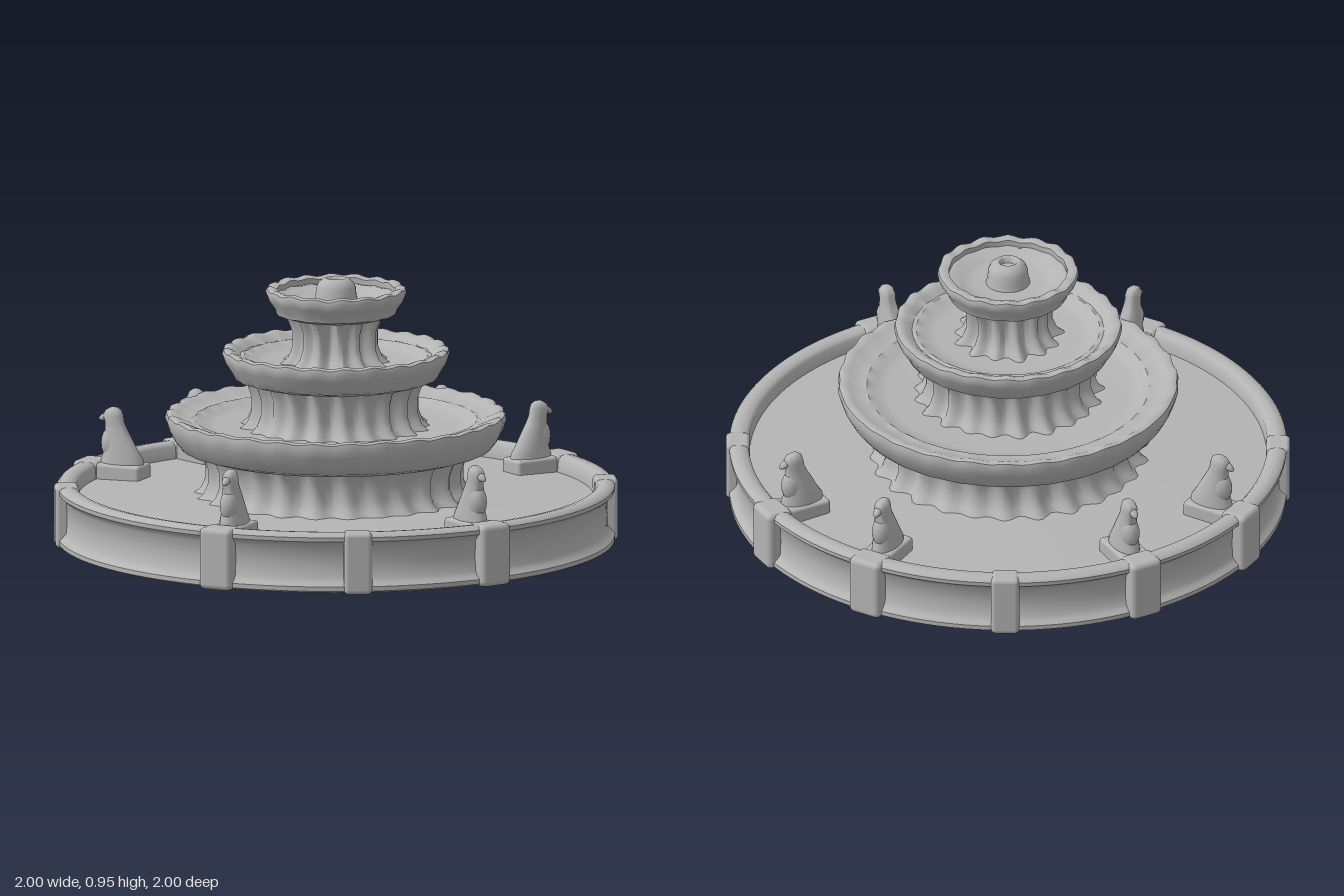
import * as THREE from 'three';
import { mergeVertices, toCreasedNormals } from 'three/addons/utils/BufferGeometryUtils.js';
import { RoundedBoxGeometry } from 'three/addons/geometries/RoundedBoxGeometry.js';

const stone = new THREE.MeshStandardMaterial({ color: 0xb4b4b4 });
stone.name = 'grey stone';

// Turned shape whose vertices can be moved by rule(position, profileIndex)
function turned(name, profile, segments, rule, crease = 0.8) {
  const points = profile.map(([r, y]) => new THREE.Vector2(r, y));
  let geo = new THREE.LatheGeometry(points, segments);
  const pos = geo.attributes.position;
  const v = new THREE.Vector3();
  if (rule) {
    for (let i = 0; i < pos.count; i++) {
      v.fromBufferAttribute(pos, i);
      rule(v, i % profile.length);
      pos.setXYZ(i, v.x, v.y, v.z);
    }
  }
  geo.deleteAttribute('normal');
  geo.deleteAttribute('uv');
  geo = toCreasedNormals(mergeVertices(geo, 1e-5), crease);
  const mesh = new THREE.Mesh(geo, stone);
  mesh.name = name;
  return mesh;
}

// Bowl with a rolled, scalloped lip
function bowl(name, rim, foot, bottom, top, lip, floor, lobes) {
  const h = top - bottom;
  const profile = [
    [0, bottom], [foot, bottom], [rim * 0.5 + foot * 0.5, bottom + h * 0.12],
    [rim - 0.03, bottom + h * 0.32], [rim - 0.01, bottom + h * 0.58], [rim, bottom + h * 0.82],
    [rim - 0.004, top - 0.006], [rim - 0.018, top], [rim - 0.04, top - 0.008],
    [lip + 0.015, top - 0.028], [lip, floor + 0.025], [lip - 0.03, floor + 0.005],
    [lip - 0.07, floor], [0, floor],
  ];
  const weight = [0, 0, 0.3, 0.7, 1, 1, 1, 0.9, 0.7, 0.4, 0, 0, 0, 0];
  return turned(name, profile, 144, (v, i) => {
    const a = Math.atan2(v.x, v.z);
    const wave = weight[i] * (Math.cos(a * lobes) + 0.4 * Math.sin(a * 7));
    const k = 1 - weight[i] * 0.004 + 0.004 * wave;
    v.x *= k;
    v.z *= k;
    v.y += 0.004 * wave;
  });
}

// Curtain of falling water: a drum with uneven vertical folds
function curtain(name, radius, bottom, top, folds) {
  const h = top - bottom;
  const profile = [
    [radius + 0.05, bottom - 0.01], [radius + 0.015, bottom + h * 0.12], [radius, bottom + h * 0.35],
    [radius, bottom + h * 0.65], [radius + 0.012, bottom + h * 0.86], [radius + 0.03, top + 0.01],
  ];
  return turned(name, profile, 144, (v) => {
    const a = Math.atan2(v.x, v.z);
    const k = (0.013 * Math.cos(a * folds) + 0.006 * Math.sin(a * (folds - 5))) / radius;
    v.x *= 1 + k;
    v.z *= 1 + k;
  }, 1.2);
}

function block(name, w, h, d, x, y, round) {
  const mesh = new THREE.Mesh(new RoundedBoxGeometry(w, h, d, 3, round), stone);
  mesh.name = name;
  mesh.position.set(x, y, 0);
  return mesh;
}

// Seated animal on a short plinth, looking outward along +x
function statue() {
  const g = new THREE.Group();
  g.name = 'statue';
  g.add(block('statuePlinth', 0.19, 0.08, 0.11, 0.845, 0.175, 0.012));
  // [height, centre, half depth, half width] of each body section
  const sections = [
    [0.19, 0.838, 0.085, 0.046], [0.23, 0.838, 0.08, 0.044], [0.26, 0.842, 0.064, 0.04],
    [0.3, 0.852, 0.052, 0.035], [0.335, 0.862, 0.042, 0.03], [0.36, 0.868, 0.036, 0.026],
    [0.385, 0.874, 0.038, 0.027], [0.403, 0.872, 0.03, 0.021], [0.413, 0.87, 0.014, 0.01],
    [0.415, 0.87, 0, 0],
  ];
  g.add(turned('statueBody', sections.map((s) => [s[2], s[0]]), 20, (v, i) => {
    const [, centre, depth, width] = sections[i];
    if (depth > 0) v.z *= width / depth;
    v.x += centre;
  }, 1.5));
  const snout = new THREE.Mesh(new THREE.SphereGeometry(1, 14, 10), stone);
  snout.name = 'statueSnout';
  snout.scale.set(0.03, 0.013, 0.015);
  snout.position.set(0.902, 0.38, 0);
  snout.rotation.z = -0.5;
  g.add(snout);
  const chest = new THREE.Mesh(new THREE.SphereGeometry(1, 14, 10), stone);
  chest.name = 'statueChest';
  chest.scale.set(0.04, 0.06, 0.034);
  chest.position.set(0.878, 0.285, 0);
  g.add(chest);
  return g;
}

export function createModel() {
  const model = new THREE.Group();
  model.name = 'fountain';

  // Pool: underside, recessed wall panel, rounded rim and gently rising floor
  model.add(turned('pool', [
    [0, 0.005], [0.975, 0.005], [0.988, 0.012], [0.988, 0.028], [0.975, 0.04], [0.963, 0.055],
    [0.961, 0.11], [0.963, 0.165], [0.975, 0.18], [0.987, 0.19], [0.988, 0.205], [0.978, 0.216],
    [0.955, 0.22], [0.93, 0.216], [0.919, 0.205], [0.916, 0.16], [0.75, 0.165], [0.52, 0.175], [0, 0.18],
  ], 128));

  // Tiers of water curtains and bowls
  model.add(curtain('lowerCurtain', 0.445, 0.175, 0.335, 26));
  model.add(bowl('lowerBowl', 0.605, 0.5, 0.33, 0.47, 0.5, 0.42, 30));
  model.add(curtain('middleCurtain', 0.285, 0.42, 0.595, 21));
  model.add(bowl('middleBowl', 0.404, 0.32, 0.585, 0.7, 0.325, 0.65, 24));
  model.add(curtain('upperCurtain', 0.14, 0.65, 0.825, 13));
  model.add(bowl('upperBowl', 0.25, 0.175, 0.815, 0.92, 0.195, 0.868, 16));

  // Spout with a shallow hole
  model.add(turned('spout', [
    [0.08, 0.862], [0.073, 0.89], [0.07, 0.92], [0.062, 0.937], [0.046, 0.95], [0.036, 0.953],
    [0.03, 0.948], [0.026, 0.93], [0, 0.928],
  ], 24, null, 1.2));

  // Narrow piers on the four axes, wider piers with statues between
  for (const degrees of [0, 90, 180, 270]) {
    const pier = block('narrowPier', 0.085, 0.222, 0.1, 0.957, 0.111, 0.016);
    const holder = new THREE.Group();
    holder.name = 'pierGroup';
    holder.rotation.y = THREE.MathUtils.degToRad(degrees);
    holder.add(pier);
    model.add(holder);
  }
  for (const degrees of [30, 60, 120, 150, 240, 300]) {
    const holder = new THREE.Group();
    holder.name = 'statuePier';
    holder.rotation.y = THREE.MathUtils.degToRad(degrees);
    holder.add(block('widePier', 0.1, 0.222, 0.125, 0.958, 0.111, 0.02));
    holder.add(statue());
    model.add(holder);
  }
  return model;
}
